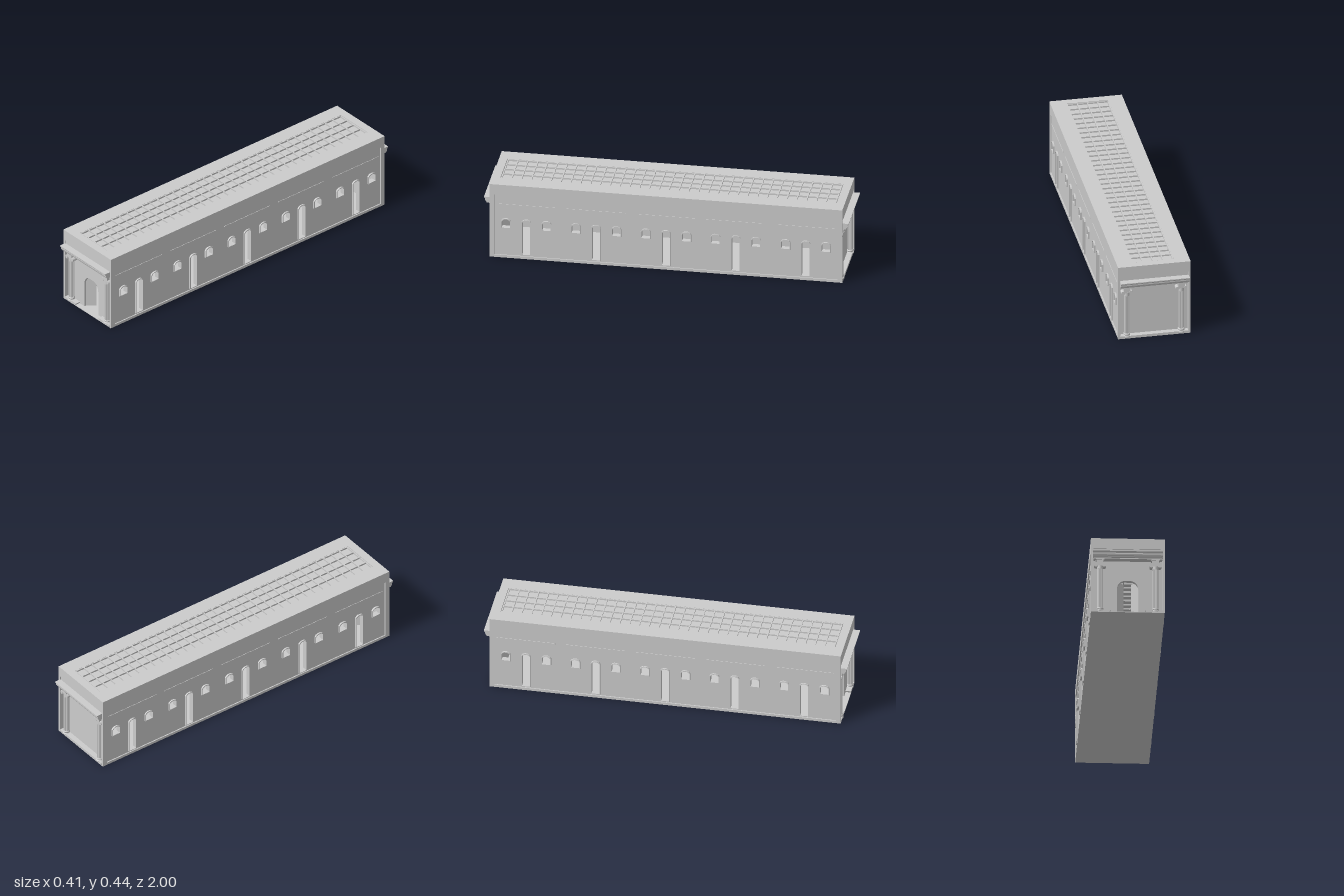
import * as THREE from 'three';

const mat = new THREE.MeshStandardMaterial({ color: 0xcccccc, flatShading: true });
const smooth = new THREE.MeshStandardMaterial({ color: 0xcccccc });

function add(parent, name, geo, x = 0, y = 0, z = 0, m = mat) {
  const mesh = new THREE.Mesh(geo, m);
  mesh.name = name;
  mesh.position.set(x, y, z);
  parent.add(mesh);
  return mesh;
}
// Box given by its limits on each axis
function block(parent, name, x0, x1, y0, y1, z0, z1) {
  return add(parent, name, new THREE.BoxGeometry(x1 - x0, y1 - y0, z1 - z0),
    (x0 + x1) / 2, (y0 + y1) / 2, (z0 + z1) / 2);
}
const poly = pts => new THREE.Shape(pts.map(p => new THREE.Vector2(...p)));
const rect = (x0, x1, y0, y1) => poly([[x0, y0], [x1, y0], [x1, y1], [x0, y1]]);
const extrude = (shape, depth, curveSegments = 10) =>
  new THREE.ExtrudeGeometry(shape, { depth, bevelEnabled: false, curveSegments });

// Window outline with a chamfered head
function windowShape(u, w, y0, y1) {
  const c = w * 0.55;
  return poly([[u - w, y0], [u + w, y0], [u + w, y1 - c], [u + w * 0.75, y1 - c * 0.4], [u + w * 0.3, y1],
    [u - w * 0.3, y1], [u - w * 0.75, y1 - c * 0.4], [u - w, y1 - c]]);
}

// Long wall with five bays: a tall window between two small ones
function sideWall() {
  const side = new THREE.Group();
  side.name = 'sideWall';
  const wall = rect(-0.94, 0.94, 0.004, 0.385);
  for (let i = -2; i <= 2; i++) {
    const u = i * 0.383;
    for (const [du, w, y0] of [[0, 0.022, 0.027], [-0.111, 0.023, 0.182], [0.111, 0.023, 0.182]]) {
      const hole = windowShape(u + du, w, y0, 0.232);
      wall.holes.push(hole);
      const frame = windowShape(u + du, w + 0.004, y0 - 0.004, 0.237);
      frame.holes.push(hole);
      add(side, 'windowFrame', extrude(frame, 0.012).rotateY(Math.PI / 2), 0.191);
    }
    block(side, 'bayLedge', 0.19, 0.1965, 0.317, 0.322, -u - 0.163, -u + 0.163);
  }
  add(side, 'sidePanel', extrude(wall, 0.022).rotateY(Math.PI / 2), 0.172);
  block(side, 'sidePlinth', 0.172, 0.2, 0.004, 0.015, -0.94, 0.94);
  for (const s of [-1, 1]) block(side, 'cornerPost', 0.187, 0.2, 0.004, 0.385, s * 0.953 - 0.0135, s * 0.953 + 0.0135);
  return side;
}

// Fluted column with a turned base and scrolled capital
function column(x) {
  const col = new THREE.Group();
  col.name = 'column';
  const base = [[0, 0.002], [0.0125, 0.002], [0.0125, 0.007], [0.021, 0.007], [0.021, 0.014], [0.018, 0.016],
    [0.0165, 0.019], [0.0185, 0.022], [0.0185, 0.026], [0.016, 0.03], [0, 0.03]];
  add(col, 'columnBase', new THREE.LatheGeometry(base.map(p => new THREE.Vector2(...p)), 20));
  const pts = [];
  for (let i = 0; i < 48; i++) {
    const a = i * Math.PI / 24, r = [0.0155, 0.0155, 0.0132, 0.0132][i % 4];
    pts.push([r * Math.cos(a), r * Math.sin(a)]);
  }
  add(col, 'flutedShaft', extrude(poly(pts), 0.232).rotateX(-Math.PI / 2), 0, 0.028);
  add(col, 'columnNeck', new THREE.CylinderGeometry(0.0155, 0.0155, 0.022, 24), 0, 0.27, 0, smooth);
  block(col, 'scrollBand', -0.024, 0.024, 0.278, 0.29, -0.015, 0.015);
  for (const s of [-1, 1])
    add(col, 'scroll', new THREE.CylinderGeometry(0.0105, 0.0105, 0.034, 20).rotateX(Math.PI / 2), s * 0.0225, 0.2795, 0, smooth);
  block(col, 'capitalBlock', -0.019, 0.019, 0.288, 0.312, -0.018, 0.018);
  block(col, 'abacus', -0.023, 0.023, 0.311, 0.317, -0.022, 0.022);
  col.position.set(x, 0, 0.951);
  return col;
}

// Arched opening, or one half of it for a door leaf
function archShape(half) {
  const s = new THREE.Shape();
  s.moveTo(half ? 0 : -0.058, 0.004);
  s.lineTo(0.058, 0.004);
  s.lineTo(0.058, 0.148);
  s.bezierCurveTo(0.058, 0.18, 0.038, 0.201, 0.012, 0.201);
  if (half) s.lineTo(0, 0.201);
  else {
    s.lineTo(-0.012, 0.201);
    s.bezierCurveTo(-0.038, 0.201, -0.058, 0.18, -0.058, 0.148);
  }
  s.closePath();
  return s;
}

// End wall with columns and entablature; the front one has the doorway
function endWall(front) {
  const end = new THREE.Group();
  end.name = front ? 'frontWall' : 'backWall';
  const wall = rect(-0.19, 0.19, 0.004, 0.385);
  if (front) wall.holes.push(archShape(false));
  add(end, 'endPanel', extrude(wall, 0.02), 0, 0, 0.917);
  // Plinth, cut away with sloped ends at the entrance
  if (front) {
    for (const s of [[0.1, 0.094, 0.19], [-0.19, -0.094, -0.1]]) {
      const shape = s[0] > 0 ? poly([[0.1, 0.002], [0.19, 0.002], [0.19, 0.015], [0.094, 0.015]])
        : poly([[-0.19, 0.002], [-0.1, 0.002], [-0.094, 0.015], [-0.19, 0.015]]);
      add(end, 'entrancePlinth', extrude(shape, 0.034), 0, 0, 0.933);
    }
    // Door leaves standing ajar inwards
    for (const s of [-1, 1]) {
      const leaf = extrude(archShape(true), 0.004).translate(-0.058, 0, -0.004);
      if (s < 0) leaf.rotateY(Math.PI).translate(0, 0, -0.004);
      const door = add(end, 'doorLeaf', leaf, s * 0.058, 0, 0.928);
      door.rotation.y = -s * 0.85;
    }
  } else block(end, 'endPlinth', -0.19, 0.19, 0.002, 0.015, 0.933, 0.967);
  for (const s of [-1, 1]) end.add(column(s * 0.15));
  // Moulded entablature, profile in z and y
  const profile = poly([[0.93, 0.321], [0.985, 0.321], [0.987, 0.326], [0.991, 0.33], [0.993, 0.336],
    [0.993, 0.342], [0.996, 0.347], [1, 0.35], [1, 0.355], [0.93, 0.355]]);
  add(end, 'entablature', extrude(profile, 0.38).rotateY(-Math.PI / 2), 0.19);
  block(end, 'architrave', -0.187, 0.187, 0.316, 0.322, 0.93, 0.973);
  block(end, 'frieze', -0.187, 0.187, 0.354, 0.377, 0.93, 0.962);
  if (!front) end.rotation.y = Math.PI;
  return end;
}

// Roof slab with a sunken gridded skylight
function roof() {
  const group = new THREE.Group();
  group.name = 'roof';
  const slab = rect(-0.2, 0.2, -0.967, 0.967);
  slab.holes.push(rect(-0.115, 0.115, -0.922, 0.922));
  add(group, 'roofSlab', extrude(slab, 0.062).rotateX(-Math.PI / 2), 0, 0.377);
  block(group, 'skylightGlass', -0.116, 0.116, 0.425, 0.429, -0.923, 0.923);
  const cols = 4, rows = 34;
  for (let i = 0; i <= cols; i++) {
    const x = -0.112 + i * 0.224 / cols;
    block(group, 'skylightBar', x - 0.003, x + 0.003, 0.415, 0.438, -0.919, 0.919);
  }
  for (let i = 0; i <= rows; i++) {
    const z = -0.916 + i * 1.832 / rows;
    block(group, 'skylightCrossbar', -0.112, 0.112, 0.415, 0.4375, z - 0.003, z + 0.003);
  }
  return group;
}

export function createModel() {
  const model = new THREE.Group();
  model.name = 'hall';
  block(model, 'floor', -0.2, 0.2, 0, 0.004, -0.967, 0.967);
  const left = sideWall(), right = sideWall();
  right.rotation.y = Math.PI;
  model.add(left, right, endWall(true), endWall(false), roof());
  return model;
}
